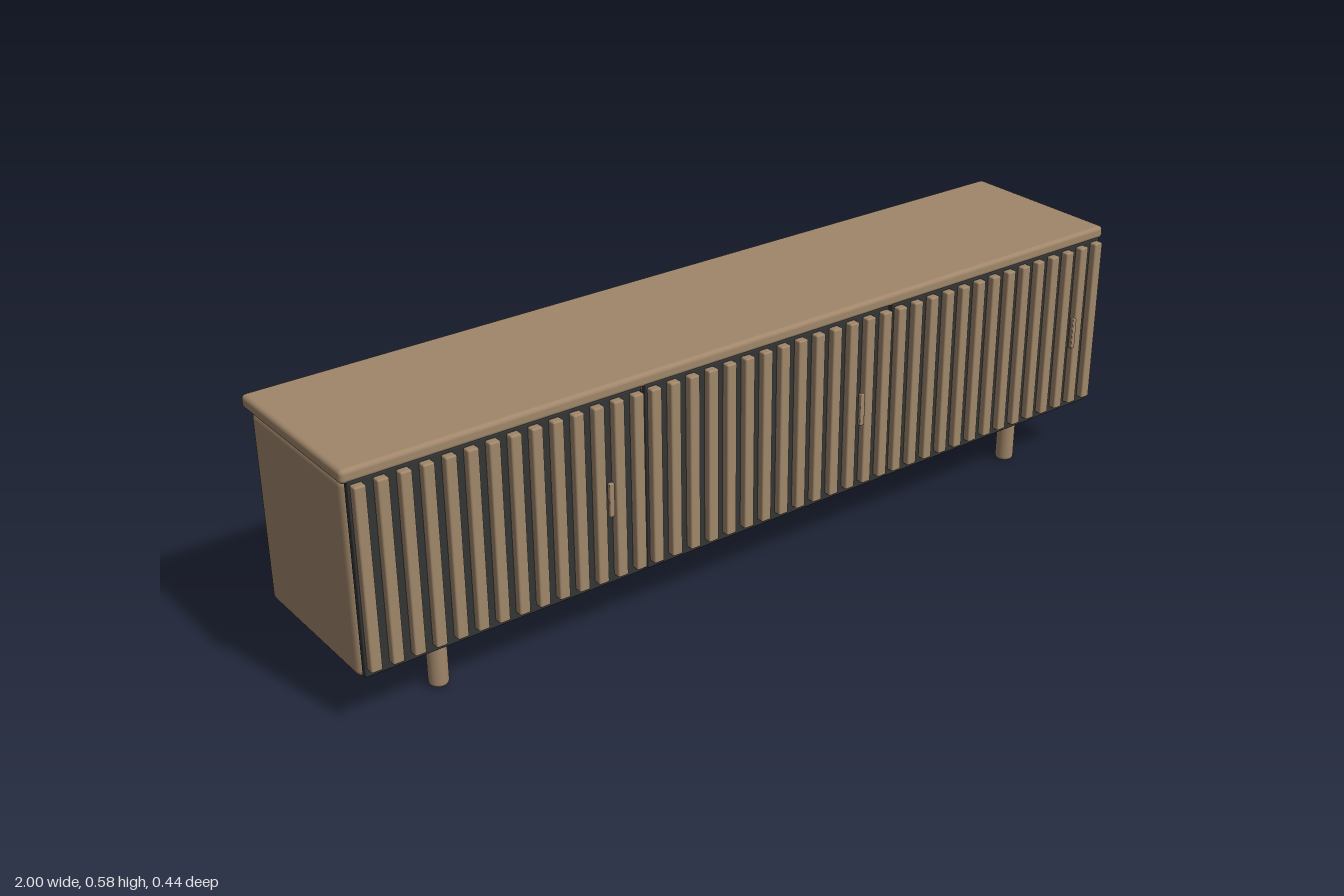
import * as THREE from 'three';
import { RoundedBoxGeometry } from 'three/addons/geometries/RoundedBoxGeometry.js';

export function createModel() {
  const group = new THREE.Group();
  const wood = new THREE.MeshStandardMaterial({ name: 'walnut wood', color: 0xa0866a });
  const dark = new THREE.MeshStandardMaterial({ name: 'charcoal panel', color: 0x333435 });

  // Rounded box given by its extents on each axis
  function box(name, mat, [x0, x1], [y0, y1], [z0, z1], r, parent = group) {
    const geo = new RoundedBoxGeometry(x1 - x0, y1 - y0, z1 - z0, 3, r);
    const mesh = new THREE.Mesh(geo, mat);
    mesh.position.set((x0 + x1) / 2, (y0 + y1) / 2, (z0 + z1) / 2);
    mesh.name = name;
    parent.add(mesh);
    return mesh;
  }

  // Carcass and overhanging top
  box('cabinetBody', wood, [-0.99, 0.99], [0.113, 0.548], [-0.21, 0.165], 0.018);
  box('topBoard', wood, [-1, 1], [0.548, 0.578], [-0.222, 0.185], 0.01);

  // Three slatted doors, each with a pull handle near its +x edge
  const slats = 14, pitch = 0.0475;
  for (let d = -1; d <= 1; d++) {
    const door = new THREE.Group();
    door.name = 'door';
    door.position.x = d * 0.661;
    group.add(door);
    box('doorPanel', dark, [-0.326, 0.326], [0.13, 0.553], [0.17, 0.185], 0.003, door);
    for (let i = 0; i < slats; i++) {
      const x = (i - (slats - 1) / 2) * pitch;
      box('slat', wood, [x - 0.0125, x + 0.0125], [0.146, 0.546], [0.18, 0.202], 0.004, door);
    }
    box('handle', wood, [0.218, 0.23], [0.308, 0.383], [0.213, 0.223], 0.002, door);
  }

  // Round legs with softened ends
  const r = 0.0215, h = 0.113, b = 0.01;
  const profile = [new THREE.Vector2(0, 0)];
  for (let i = 0; i <= 4; i++) {
    const a = (i / 4) * Math.PI / 2;
    profile.push(new THREE.Vector2(r - b + b * Math.sin(a), b - b * Math.cos(a)));
  }
  for (let i = 0; i <= 4; i++) {
    const a = (i / 4) * Math.PI / 2;
    profile.push(new THREE.Vector2(r - b + b * Math.cos(a), h - b + b * Math.sin(a)));
  }
  profile.push(new THREE.Vector2(0, h));
  const legGeo = new THREE.LatheGeometry(profile, 28);
  for (const x of [-0.795, 0.795]) {
    for (const z of [0.113, -0.159]) {
      const leg = new THREE.Mesh(legGeo, wood);
      leg.name = 'leg';
      leg.position.set(x, 0, z);
      group.add(leg);
    }
  }
  return group;
}
